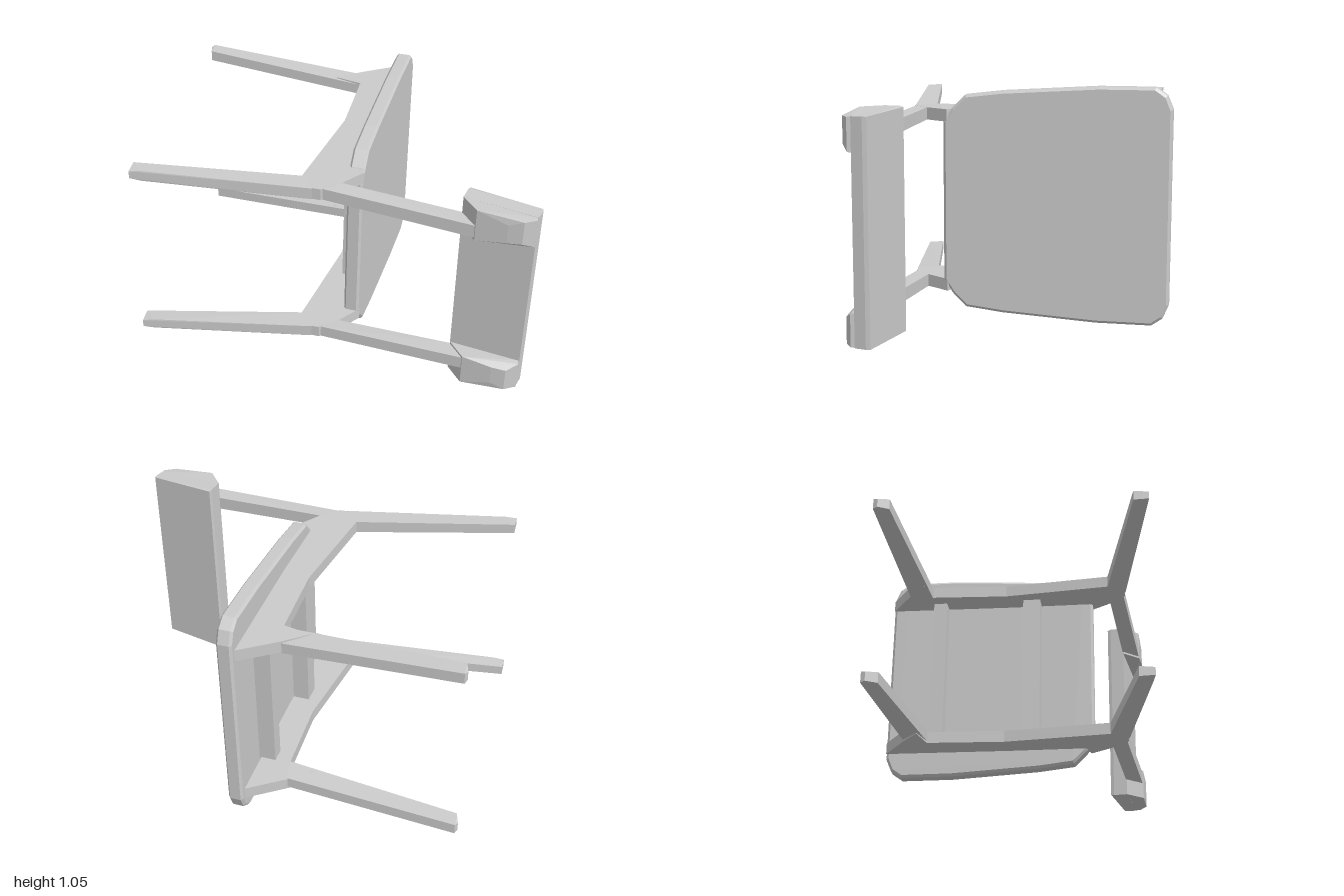
import * as THREE from 'three';
import { ConvexGeometry } from 'three/addons/geometries/ConvexGeometry.js';

const MID = 0.528; // the chair lies on its side, so it mirrors across this height

export function createModel() {
  const root = new THREE.Group();
  const mat = new THREE.MeshStandardMaterial({ color: 0xcccccc, flatShading: true, side: THREE.DoubleSide });

  function add(name, geo) {
    const mesh = new THREE.Mesh(geo, mat);
    mesh.name = name;
    root.add(mesh);
    return mesh;
  }

  // Convex part from plan corners [x, z, yLow, yHigh], optionally mirrored
  function hull(name, corners, mirrored = false) {
    const flip = (y) => (mirrored ? 2 * MID - y : y);
    const pts = corners.flatMap(([x, z, lo, hi]) => [
      new THREE.Vector3(x, flip(lo), z), new THREE.Vector3(x, flip(hi), z)]);
    return add(name, new ConvexGeometry(pts));
  }

  // Tilted seat frame: u runs back to front, v along the width, n out of the seat
  const u = new THREE.Vector3(0.647, 0, -0.762).normalize();
  const v = new THREE.Vector3(0, 1, 0);
  const n = new THREE.Vector3().crossVectors(u, v);
  const seatFrame = new THREE.Matrix4().makeBasis(u, v, n);

  // Seat slab with cut corners, slightly wider towards the front
  const half = [[-0.17, 0.36], [-0.13, 0.42], [-0.07, 0.48], [0.1, 0.5], [0.52, 0.525],
    [0.765, 0.525], [0.815, 0.49], [0.84, 0.43]];
  const outline = [...half, ...half.map(([a, w]) => [a, -w]).reverse()]
    .map(([a, w]) => new THREE.Vector2(a, w + 0.525));
  const seat = new THREE.ExtrudeGeometry(new THREE.Shape(outline), {
    depth: 0.05, bevelEnabled: true, bevelThickness: 0.01, bevelSize: 0.012, bevelOffset: -0.012, bevelSegments: 1 });
  seat.translate(0, 0, 0.276).applyMatrix4(seatFrame);
  add('seat', seat);

  // Two cross bars below the seat
  for (const [at, width] of [[0.59, 0.065], [0.13, 0.085]]) {
    const bar = new THREE.BoxGeometry(width, 0.74, 0.08);
    bar.translate(at, MID, 0.23).applyMatrix4(seatFrame);
    add('crossBar', bar);
  }

  // Side rail profile in plan (x, z)
  const railShape = new THREE.Shape([[-0.1, 0.25], [0.27, -0.1], [0.49, -0.39], [0.41, -0.49], [0.54, -0.49],
    [0.735, -0.475], [0.13, 0.27], [0.16, 0.335], [0.02, 0.375], [-0.07, 0.38], [-0.1, 0.355]]
    .map(([x, z]) => new THREE.Vector2(x, -z)));

  for (const mirrored of [false, true]) {
    const side = mirrored ? 'Lower' : 'Upper';

    const rail = new THREE.ExtrudeGeometry(railShape, { depth: 0.055, bevelEnabled: false });
    rail.rotateX(-Math.PI / 2).translate(0, mirrored ? 2 * MID - 0.94 : 0.885, 0);
    add('sideRail' + side, rail);

    // Legs splay outwards towards the feet
    hull('rearLeg' + side, [[-0.1, 0.25, 0.885, 0.94], [-0.1, 0.36, 0.885, 0.94],
      [-0.75, -0.1, 0.925, 0.97], [-0.79, -0.045, 0.93, 0.965], [-0.745, -0.02, 0.92, 0.97]], mirrored);
    hull('frontLeg' + side, [[0.49, -0.39, 0.88, 0.93], [0.54, -0.49, 0.88, 0.93],
      [-0.04, -1.0, 0.92, 0.97], [-0.08, -0.94, 0.92, 0.97], [-0.06, -0.99, 0.925, 0.965]], mirrored);

    // Back post leans up to the backrest
    hull('backPost' + side, [[0.03, 0.365, 0.885, 0.94], [-0.07, 0.37, 0.885, 0.94],
      [0.42, 0.745, 0.86, 0.92], [0.42, 0.855, 0.86, 0.92]], mirrored);

    // Tapered block behind each end of the backrest
    hull('backrestBlock' + side, [[0.415, 0.745, 0.85, 1.0], [0.415, 0.855, 0.85, 1.0],
      [0.51, 0.95, 0.87, 0.96], [0.56, 0.99, 0.875, 0.985], [0.62, 0.998, 0.85, 0.985],
      [0.63, 0.98, 0.845, 0.987]], mirrored);
  }

  // Backrest board
  hull('backrest', [[0.415, 0.745, 0.056, 1.0], [0.465, 0.7, 0.056, 1.0], [0.48, 0.692, 0.06, 0.996],
    [0.68, 0.94, 0.068, 0.988], [0.67, 0.955, 0.068, 0.988], [0.63, 0.985, 0.068, 0.988]]);

  return root;
}
